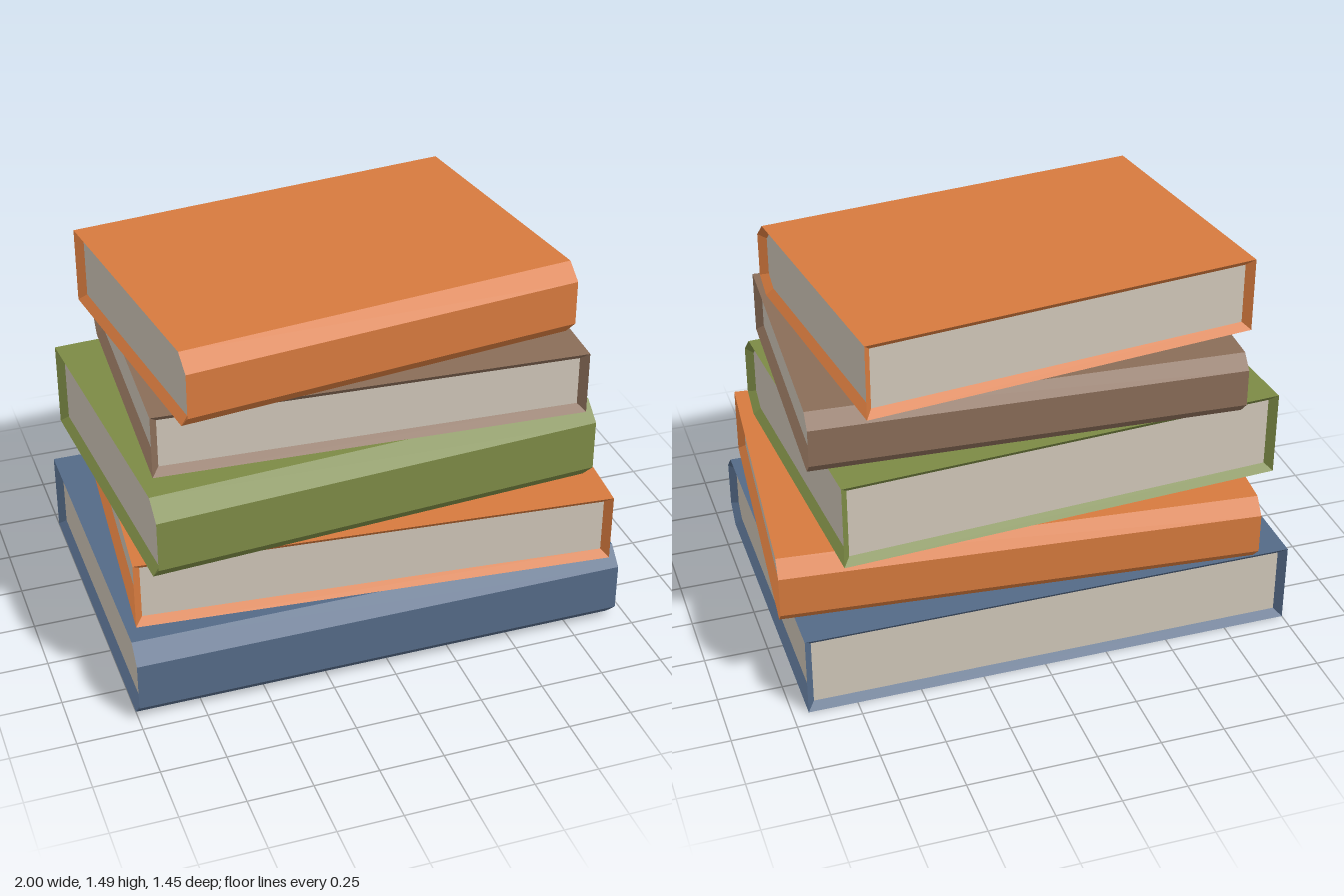
import * as THREE from 'three';

// Half-width w, height h, spine chamfer c and inset t give a hexagonal end profile, spine on +x
function profile(w, h, c, t) {
  const k = c + t * 0.414;
  return [[t - w, t], [w - k, t], [w - t, k], [w - t, h - k], [w - k, h - t], [t - w, h - t]];
}

// Hard cover: boards and chamfered spine, with bevelled rims leading in to the pages
function coverGeometry(outer, inner, H, t) {
  const pos = [];
  const O = (i, s) => [...outer[i], s * H];
  const I = (i, s) => [...inner[i], s * (H - t)];
  const quad = (a, b, c, d) => pos.push(...a, ...b, ...c, ...a, ...c, ...d);
  for (let i = 0; i < 6; i++) {
    const j = (i + 1) % 6;
    if (i < 5) quad(O(i, -1), O(j, -1), O(j, 1), O(i, 1));
    quad(O(i, 1), O(j, 1), I(j, 1), I(i, 1));
    quad(O(j, -1), O(i, -1), I(i, -1), I(j, -1));
  }
  // Rims along the opening edge
  quad(O(0, -1), O(0, 1), I(0, 1), I(0, -1));
  quad(O(5, 1), O(5, -1), I(5, -1), I(5, 1));
  const g = new THREE.BufferGeometry();
  g.setAttribute('position', new THREE.Float32BufferAttribute(pos, 3));
  g.computeVertexNormals();
  return g;
}

// Solid block of pages filling the cover
function pagesGeometry(inner, H, t) {
  const shape = new THREE.Shape(inner.map(([x, y]) => new THREE.Vector2(x, y)));
  const g = new THREE.ExtrudeGeometry(shape, { depth: 2 * (H - t), bevelEnabled: false });
  return g.translate(0, 0, t - H);
}

export function createModel() {
  const material = (name, color) => {
    const m = new THREE.MeshStandardMaterial({ color, side: THREE.DoubleSide });
    m.name = name;
    return m;
  };
  const blue = material('blue cover', 0x546a87);
  const orange = material('orange cover', 0xd67a3e);
  const green = material('green cover', 0x7c8a45);
  const brown = material('brown cover', 0x8a6d58);
  const paper = material('paper', 0xcfc6b8);

  // Books from the bottom up; turn is in degrees, back means the spine faces -z
  const books = [
    { name: 'blueBook', mat: blue, len: 1.94, wide: 1.39, y: 0, h: 0.325, x: -0.03, z: 0.015, turn: 0, back: false },
    { name: 'lowerOrangeBook', mat: orange, len: 1.857, wide: 1.295, y: 0.325, h: 0.275, x: 0.02, z: -0.003, turn: -5, back: true },
    { name: 'greenBook', mat: green, len: 1.759, wide: 1.243, y: 0.6, h: 0.34, x: -0.065, z: 0.033, turn: 3.9, back: false },
    { name: 'brownBook', mat: brown, len: 1.662, wide: 1.157, y: 0.94, h: 0.25, x: 0, z: -0.01, turn: -3, back: true },
    { name: 'topOrangeBook', mat: orange, len: 1.567, wide: 1.108, y: 1.19, h: 0.297, x: -0.05, z: 0.025, turn: 7, back: false },
  ];

  const stack = new THREE.Group();
  stack.name = 'bookStack';
  for (const b of books) {
    const t = 0.028, c = b.h * 0.205;
    const outer = profile(b.wide / 2, b.h, c, 0);
    const inner = profile(b.wide / 2, b.h, c, t);
    const cover = new THREE.Mesh(coverGeometry(outer, inner, b.len / 2, t), b.mat);
    cover.name = 'cover';
    const pages = new THREE.Mesh(pagesGeometry(inner, b.len / 2, t), paper);
    pages.name = 'pages';
    const book = new THREE.Group();
    book.name = b.name;
    book.add(cover, pages);
    book.position.set(b.x, b.y, b.z);
    book.rotation.y = THREE.MathUtils.degToRad(b.turn + (b.back ? 90 : -90));
    stack.add(book);
  }
  return stack;
}
